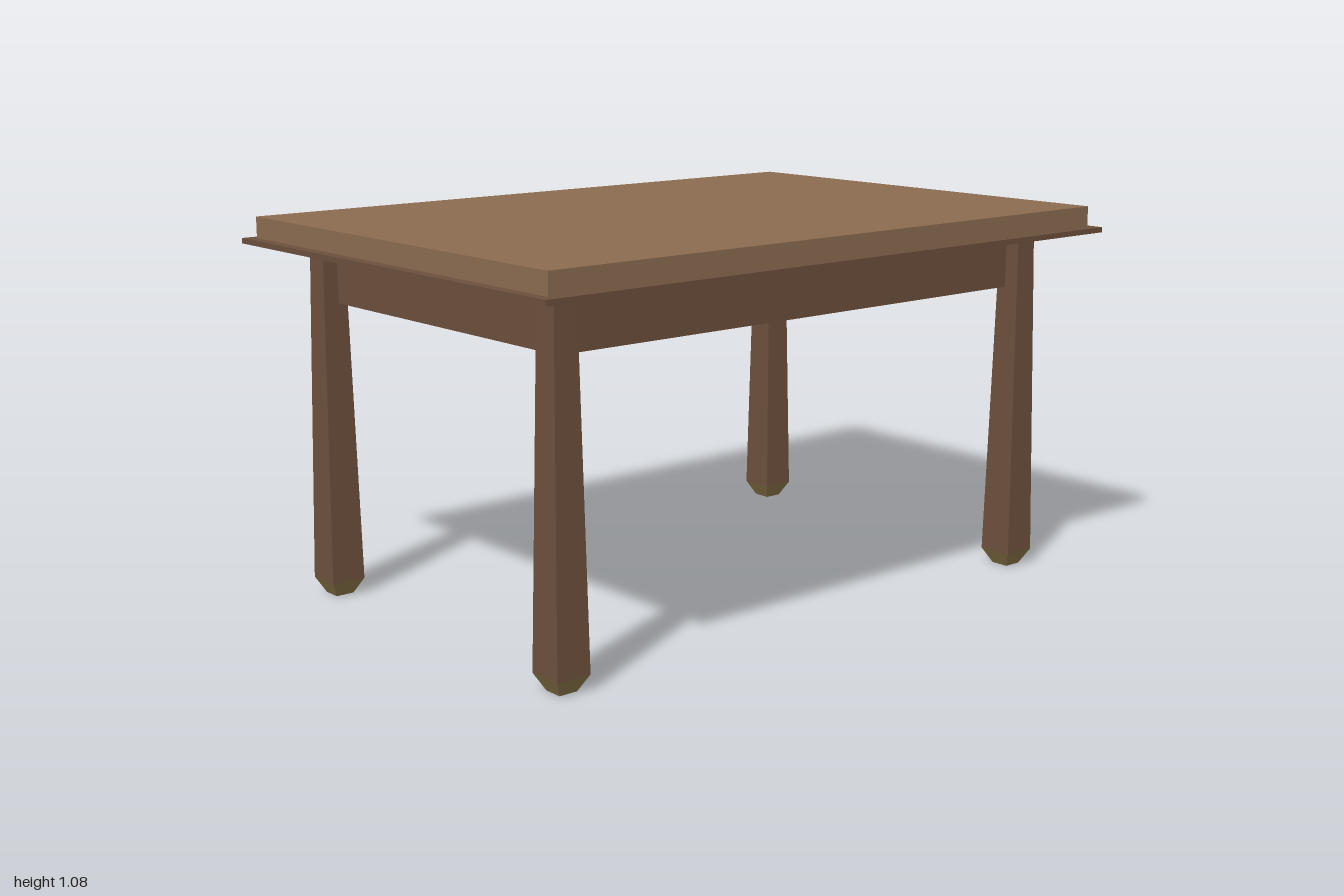
import * as THREE from 'three';

const topWood = new THREE.MeshStandardMaterial({ color: 0x8b6b50 });
const frameWood = new THREE.MeshStandardMaterial({ color: 0x6b4f3c });
const brass = new THREE.MeshStandardMaterial({ color: 0x857245 });
for (const m of [topWood, frameWood, brass]) m.flatShading = true;

function add(parent, name, geometry, material, x, y, z) {
  const mesh = new THREE.Mesh(geometry, material);
  mesh.name = name;
  mesh.position.set(x, y, z);
  parent.add(mesh);
  return mesh;
}

// Square tapered post, given the half widths of its two ends
function taper(topHalf, bottomHalf, height) {
  return new THREE.CylinderGeometry(topHalf * Math.SQRT2, bottomHalf * Math.SQRT2, height, 4)
    .rotateY(Math.PI / 4);
}

export function createModel() {
  const table = new THREE.Group();
  table.name = 'table';

  // Thick top on a thin, wider board
  add(table, 'tableTop', new THREE.BoxGeometry(1.94, 0.06, 1.34), topWood, 0, 1.045, 0);
  add(table, 'edgeBoard', new THREE.BoxGeometry(2, 0.015, 1.4), frameWood, 0, 1.0075, 0);

  // Apron: one open rectangular frame under the top
  const ax = 0.827, az = 0.515, t = 0.05;
  const rect = (path, x, z) => path.moveTo(-x, -z).lineTo(x, -z).lineTo(x, z).lineTo(-x, z).closePath();
  const frame = rect(new THREE.Shape(), ax, az);
  frame.holes.push(rect(new THREE.Path(), ax - t, az - t));
  const apron = new THREE.ExtrudeGeometry(frame, { depth: 0.16, bevelEnabled: false }).rotateX(-Math.PI / 2);
  add(table, 'apron', apron, frameWood, 0, 0.84, 0);

  // Legs widen downward and end in tapered feet
  const legH = 0.955, footH = 0.045;
  for (const sx of [-1, 1]) {
    for (const sz of [-1, 1]) {
      const leg = new THREE.Group();
      leg.name = (sz > 0 ? 'front' : 'back') + (sx > 0 ? 'Left' : 'Right') + 'Leg';
      leg.position.set(sx * 0.836, 0, sz * 0.523);
      add(leg, 'legPost', taper(0.034, 0.051, legH), frameWood, 0, footH + legH / 2, 0);
      add(leg, 'foot', taper(0.051, 0.027, footH), brass, 0, footH / 2, 0);
      table.add(leg);
    }
  }
  return table;
}
